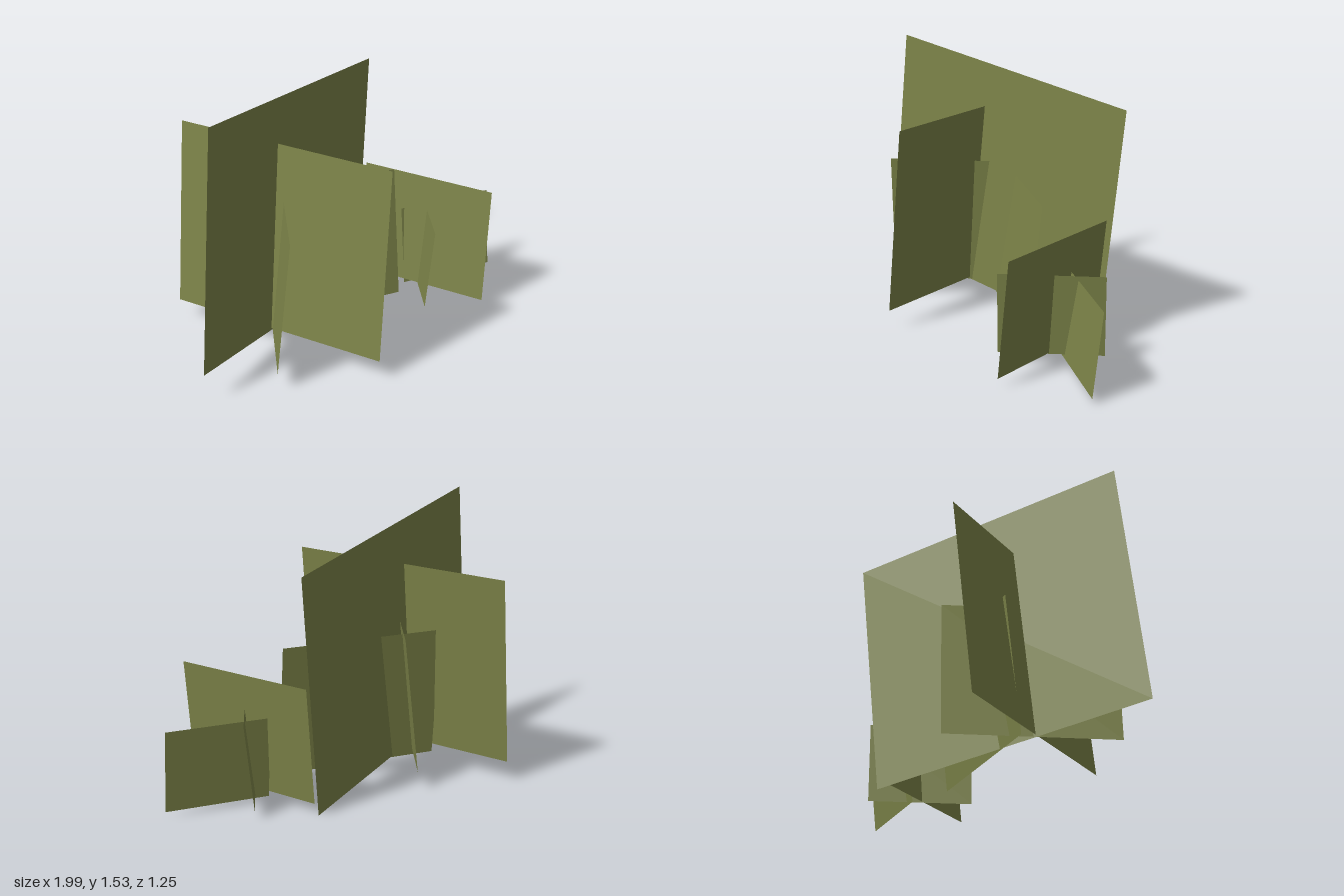
import * as THREE from 'three';

const leafGreen = new THREE.MeshStandardMaterial({ color: 0x7d8449, side: THREE.DoubleSide });
leafGreen.name = 'leafGreen';

// Flat foliage card spanned from its bottom-left corner to bottom-right and top-left
function card(name, bottomLeft, bottomRight, topLeft) {
  const origin = new THREE.Vector3(...bottomLeft);
  const across = new THREE.Vector3(...bottomRight).sub(origin);
  const up = new THREE.Vector3(...topLeft).sub(origin);
  const normal = across.clone().cross(up).normalize();
  const geometry = new THREE.PlaneGeometry(1, 1).translate(0.5, 0.5, 0);
  geometry.applyMatrix4(new THREE.Matrix4().makeBasis(across, up, normal).setPosition(origin));
  geometry.computeVertexNormals();
  const mesh = new THREE.Mesh(geometry, leafGreen);
  mesh.name = name;
  return mesh;
}

// Three leaning cards that cross near the middle
function crossedCards(name) {
  const group = new THREE.Group();
  group.name = name;
  group.add(
    card('tallCard', [-0.93, 0.122, -0.36], [-0.06, 0.122, 0.625], [-0.842, 1.202, -0.437]),
    card('middleCard', [-0.607, 0.113, 0.553], [-0.405, 0.113, -0.358], [-0.528, 0.88, 0.57]),
    card('lowCard', [-0.605, 0.077, 0.0], [0.322, 0.077, -0.107], [-0.614, 0.84, -0.082])
  );
  return group;
}

export function createModel() {
  const model = new THREE.Group();
  model.name = 'foliageCards';

  // Large slanted card through the big clump
  model.add(card('backCard', [-1.0, 0.18, 0.54], [0.204, 0.003, -0.53], [-0.89, 1.53, 0.44]));

  // Big clump, and a smaller copy beside it
  model.add(crossedCards('bigClump'));
  const small = crossedCards('smallClump');
  small.scale.setScalar(0.62);
  small.position.set(0.795, -0.016, -0.276);
  model.add(small);

  return model;
}
